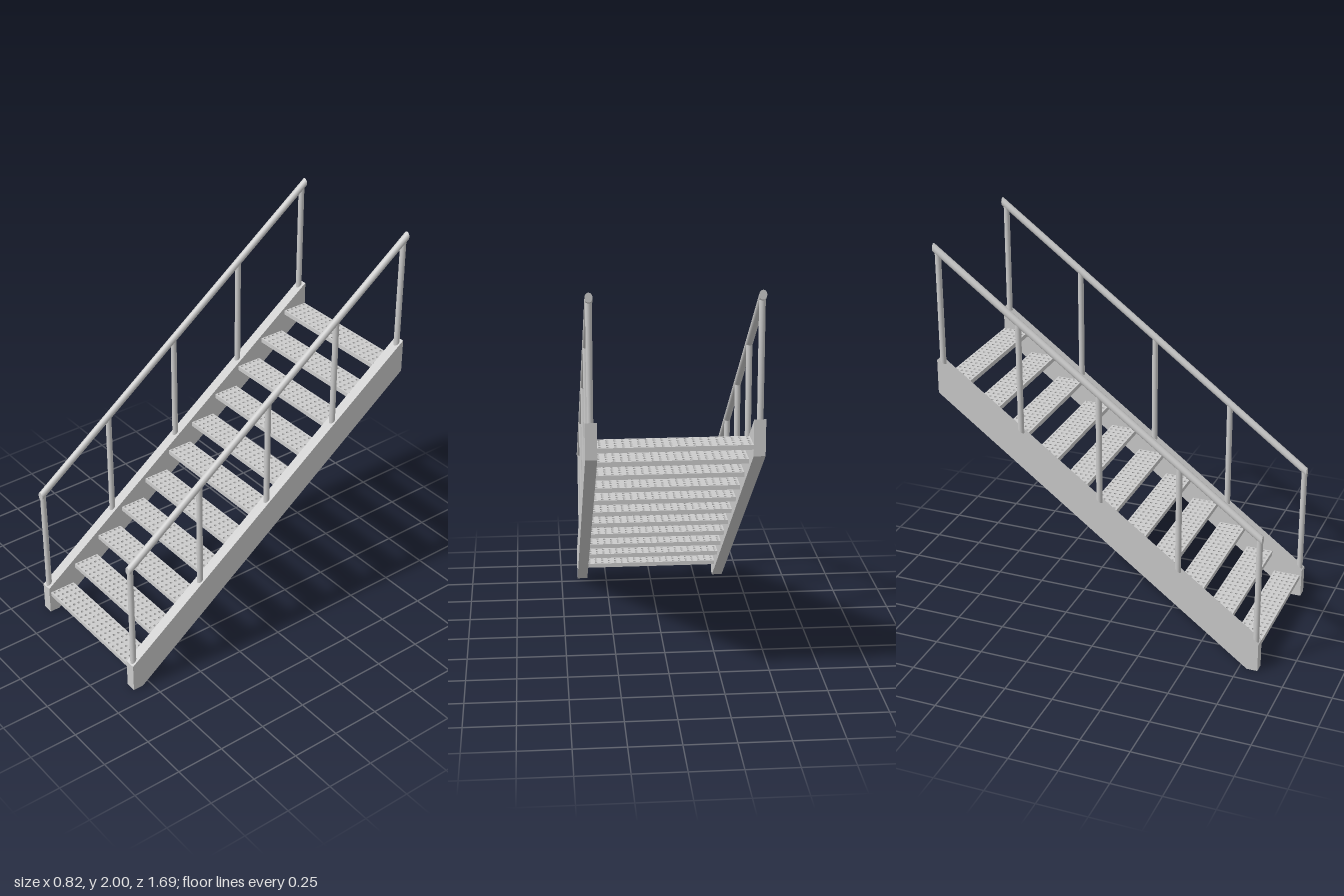
import * as THREE from 'three';

const material = new THREE.MeshStandardMaterial({ color: 0xcccccc });

function addMesh(parent, geometry, name, x = 0, y = 0, z = 0) {
  const mesh = new THREE.Mesh(geometry, material);
  mesh.name = name;
  mesh.position.set(x, y, z);
  parent.add(mesh);
  return mesh;
}

// Flat plate with a grid of round holes, thickness along +y
function treadGeometry(width, depth, thickness, cols, rows) {
  const w = width / 2, d = depth / 2;
  const shape = new THREE.Shape([
    new THREE.Vector2(-w, -d), new THREE.Vector2(w, -d),
    new THREE.Vector2(w, d), new THREE.Vector2(-w, d),
  ]);
  for (let i = 0; i < cols; i++) {
    for (let j = 0; j < rows; j++) {
      const hole = new THREE.Path();
      hole.absarc((i - (cols - 1) / 2) * 0.036, (j - (rows - 1) / 2) * 0.027, 0.0075, 0, Math.PI * 2, true);
      shape.holes.push(hole);
    }
  }
  const geometry = new THREE.ExtrudeGeometry(shape, { depth: thickness, bevelEnabled: false, curveSegments: 8 });
  return geometry.rotateX(-Math.PI / 2);
}

// Sloping side beam, profile drawn as (-z, y) and extruded across x
function stringerGeometry(width) {
  const profile = [[-0.845, 0], [-0.79, 0], [0.845, 1.23], [0.845, 1.405], [-0.845, 0.15]];
  const shape = new THREE.Shape(profile.map(([a, b]) => new THREE.Vector2(a, b)));
  const geometry = new THREE.ExtrudeGeometry(shape, { depth: width, bevelEnabled: false });
  return geometry.translate(0, 0, -width / 2).rotateY(Math.PI / 2);
}

// Round rail sheared along the slope, so both ends are cut vertically
function railGeometry(zFront, yFront, zBack, yBack) {
  const geometry = new THREE.CylinderGeometry(0.018, 0.018, zFront - zBack, 24);
  geometry.rotateX(Math.PI / 2).scale(1, 1.25, 1);
  geometry.translate(0, (yFront + yBack) / 2, (zFront + zBack) / 2);
  const slope = (yBack - yFront) / (zBack - zFront);
  const p = geometry.attributes.position;
  for (let i = 0; i < p.count; i++) {
    p.setY(i, p.getY(i) + slope * (p.getZ(i) - (zFront + zBack) / 2));
  }
  geometry.computeVertexNormals();
  return geometry;
}

export function createModel() {
  const stairs = new THREE.Group();
  stairs.name = 'stairs';

  // Perforated treads
  const tread = treadGeometry(0.715, 0.14, 0.023, 20, 5);
  for (let i = 0; i < 11; i++) {
    addMesh(stairs, tread, `tread${i + 1}`, 0, 0.1 + i * 0.1162, 0.765 - i * 0.154);
  }

  // Side beams with railings
  const stringer = stringerGeometry(0.055);
  const rail = railGeometry(0.84, 0.722, -0.845, 1.9775);
  const railY = (z) => 0.722 + (0.84 - z) * 0.745;
  const beamY = (z) => 0.15 + (0.845 - z) * 0.7426;
  for (const side of [1, -1]) {
    const group = new THREE.Group();
    group.name = side > 0 ? 'leftSide' : 'rightSide';
    addMesh(group, stringer, 'stringer', side * 0.3825);
    addMesh(group, rail, 'handrail', side * 0.385);
    for (const z of [0.826, 0.414, 0, -0.413, -0.824]) {
      const bottom = beamY(z) - 0.02, top = railY(z);
      const post = new THREE.CylinderGeometry(0.015, 0.015, top - bottom, 20);
      addMesh(group, post, 'post', side * 0.385, (top + bottom) / 2, z);
    }
    stairs.add(group);
  }
  return stairs;
}
